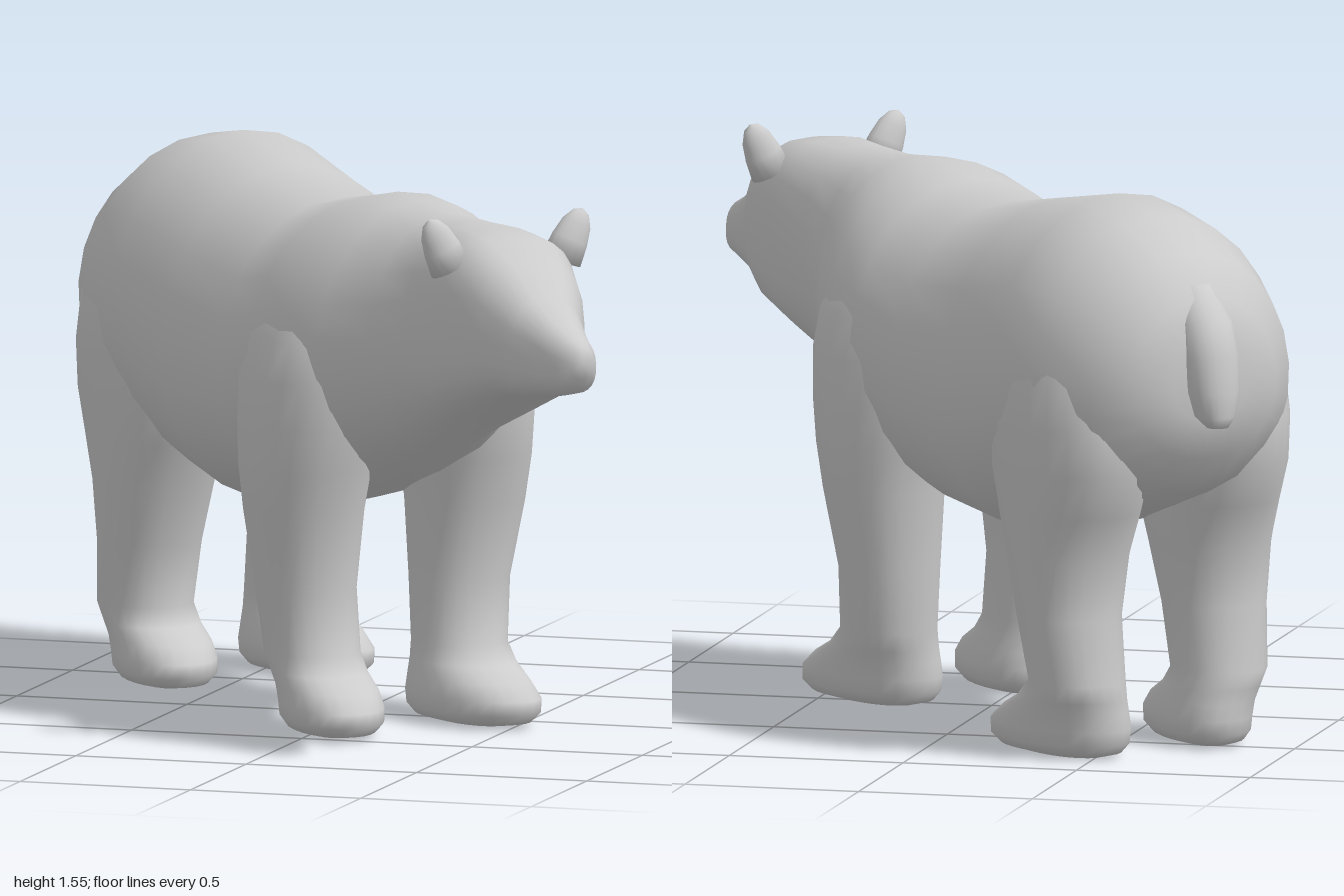
import * as THREE from 'three';

const SIDES = 24;
const fur = new THREE.MeshStandardMaterial({ color: 0xcccccc });

// Skin a list of rings (arrays of SIDES points), closing both ends
function loft(name, rings) {
  const centre = (r) => r.reduce((c, p) => c.add(p), new THREE.Vector3()).divideScalar(SIDES);
  const first = centre(rings[0]), last = centre(rings[rings.length - 1]);
  const all = [Array(SIDES).fill(first), ...rings, Array(SIDES).fill(last)];
  const index = [];
  for (let i = 0; i < all.length - 1; i++) {
    for (let j = 0; j < SIDES; j++) {
      const k = (j + 1) % SIDES;
      const a = i * SIDES + j, b = i * SIDES + k, c = b + SIDES, d = a + SIDES;
      if (i > 0) index.push(a, b, c);
      if (i < all.length - 2) index.push(a, c, d);
    }
  }
  const geo = new THREE.BufferGeometry().setFromPoints(all.flat());
  geo.setIndex(index);
  geo.computeVertexNormals();
  const mesh = new THREE.Mesh(geo, fur);
  mesh.name = name;
  return mesh;
}

const angles = Array.from({ length: SIDES }, (_, j) => (j / SIDES) * Math.PI * 2);
const soft = (v, p) => Math.sign(v) * Math.abs(v) ** p;

// Upright ring: z, bottom, top, half width, power (lower is boxier); wider below the middle
const crossRing = ([z, lo, hi, w, p = 0.95]) => angles.map((a) => new THREE.Vector3(
  w * soft(Math.cos(a), p) * (1 - 0.08 * Math.sin(a)),
  (lo + hi) / 2 + ((hi - lo) / 2) * soft(Math.sin(a), p), z));

// Level ring: y, z, half depth, half width, distance from the middle, outward splay
const levelRing = ([y, z, d, w, x, splay = 0], side) => angles.map((a) => {
  const dz = -d * soft(Math.sin(a), 0.92);
  return new THREE.Vector3(side * (x + splay * dz) + w * soft(Math.cos(a), 0.92), y, z + dz);
});

// Rump, back, neck, head and muzzle
const bodyRows = [
  [-1.2, 0.98, 1.22, 0.12], [-1.17, 0.87, 1.33, 0.23], [-1.07, 0.76, 1.44, 0.33],
  [-0.9, 0.69, 1.52, 0.4], [-0.7, 0.62, 1.555, 0.42], [-0.4, 0.55, 1.5, 0.4],
  [-0.1, 0.58, 1.445, 0.388], [0.1, 0.63, 1.48, 0.4], [0.25, 0.69, 1.51, 0.385],
  [0.4, 0.75, 1.505, 0.33], [0.55, 0.82, 1.49, 0.245], [0.7, 0.885, 1.49, 0.213, 0.85],
  [0.85, 0.95, 1.49, 0.21, 0.7], [0.97, 1.0, 1.475, 0.203, 0.65], [1.08, 1.045, 1.42, 0.163, 0.7],
  [1.17, 1.055, 1.335, 0.115, 0.75], [1.28, 1.075, 1.275, 0.08, 0.8], [1.35, 1.09, 1.245, 0.062, 0.85],
  [1.39, 1.135, 1.225, 0.035],
];

// Paw with rounded sole, shared by all legs, measured from the heel end
const pawRows = [
  [0.005, 0.26, 0.14, 0.07, 0.222, 0.15], [0.018, 0.275, 0.205, 0.115, 0.222, 0.15],
  [0.045, 0.28, 0.232, 0.137, 0.222, 0.15], [0.085, 0.277, 0.234, 0.14, 0.222, 0.15],
  [0.13, 0.25, 0.205, 0.136, 0.222, 0.12], [0.17, 0.207, 0.165, 0.132, 0.225, 0.08],
  [0.22, 0.175, 0.14, 0.13, 0.23],
];

const frontLegRows = [
  [0.4, 0.155, 0.142, 0.138, 0.24], [0.62, 0.165, 0.175, 0.163, 0.252], [0.75, 0.17, 0.21, 0.175, 0.25],
  [0.87, 0.175, 0.235, 0.183, 0.242], [1.0, 0.18, 0.25, 0.195, 0.224], [1.12, 0.18, 0.25, 0.2, 0.195],
  [1.25, 0.17, 0.2, 0.17, 0.165], [1.35, 0.17, 0.13, 0.12, 0.12],
];

const hindLegRows = [
  [0.4, -0.82, 0.145, 0.143, 0.235], [0.57, -0.805, 0.18, 0.163, 0.23], [0.7, -0.805, 0.235, 0.178, 0.225],
  [0.82, -0.81, 0.285, 0.185, 0.225], [0.95, -0.81, 0.29, 0.19, 0.225], [1.1, -0.8, 0.28, 0.195, 0.212],
  [1.25, -0.79, 0.22, 0.18, 0.18], [1.4, -0.78, 0.14, 0.12, 0.12],
];

// Tail from its tip up into the rump
const tailRows = [
  [0.97, -1.235, 0.03, 0.03, 0], [1.0, -1.22, 0.06, 0.055, 0], [1.07, -1.205, 0.075, 0.075, 0],
  [1.17, -1.185, 0.085, 0.082, 0], [1.26, -1.15, 0.09, 0.08, 0], [1.36, -1.06, 0.09, 0.06, 0],
];

function leg(name, rows, pawShift, side) {
  const paw = pawRows.map(([y, z, ...rest]) => [y, z + pawShift, ...rest]);
  return loft(name, [...paw, ...rows].map((r) => levelRing(r, side)));
}

// Small rounded ear, broad at the root and leaning outwards
function ear(name, side) {
  const profile = [[0, -0.07], [1.1, -0.06], [1, 0], [0.8, 0.05], [0.45, 0.083], [0, 0.095]];
  const mesh = new THREE.Mesh(
    new THREE.LatheGeometry(profile.map(([r, y]) => new THREE.Vector2(r, y)), 16), fur);
  mesh.name = name;
  mesh.scale.set(0.055, 1, 0.04);
  mesh.position.set(side * 0.2, 1.452, 0.915);
  mesh.rotation.z = -side * 0.45;
  return mesh;
}

export function createModel() {
  const bear = new THREE.Group();
  bear.name = 'bear';
  bear.add(loft('body', bodyRows.map(crossRing)));
  bear.add(loft('tail', tailRows.map((r) => levelRing(r, 1))));

  for (const side of [1, -1]) {
    const label = side > 0 ? 'left' : 'right';
    bear.add(leg(label + 'FrontLeg', frontLegRows, 0, side));
    bear.add(leg(label + 'HindLeg', hindLegRows, -1.03, side));
    bear.add(ear(label + 'Ear', side));
  }

  // The animal stands diagonally
  bear.rotation.y = Math.PI / 4;
  const model = new THREE.Group();
  model.add(bear);
  return model;
}
